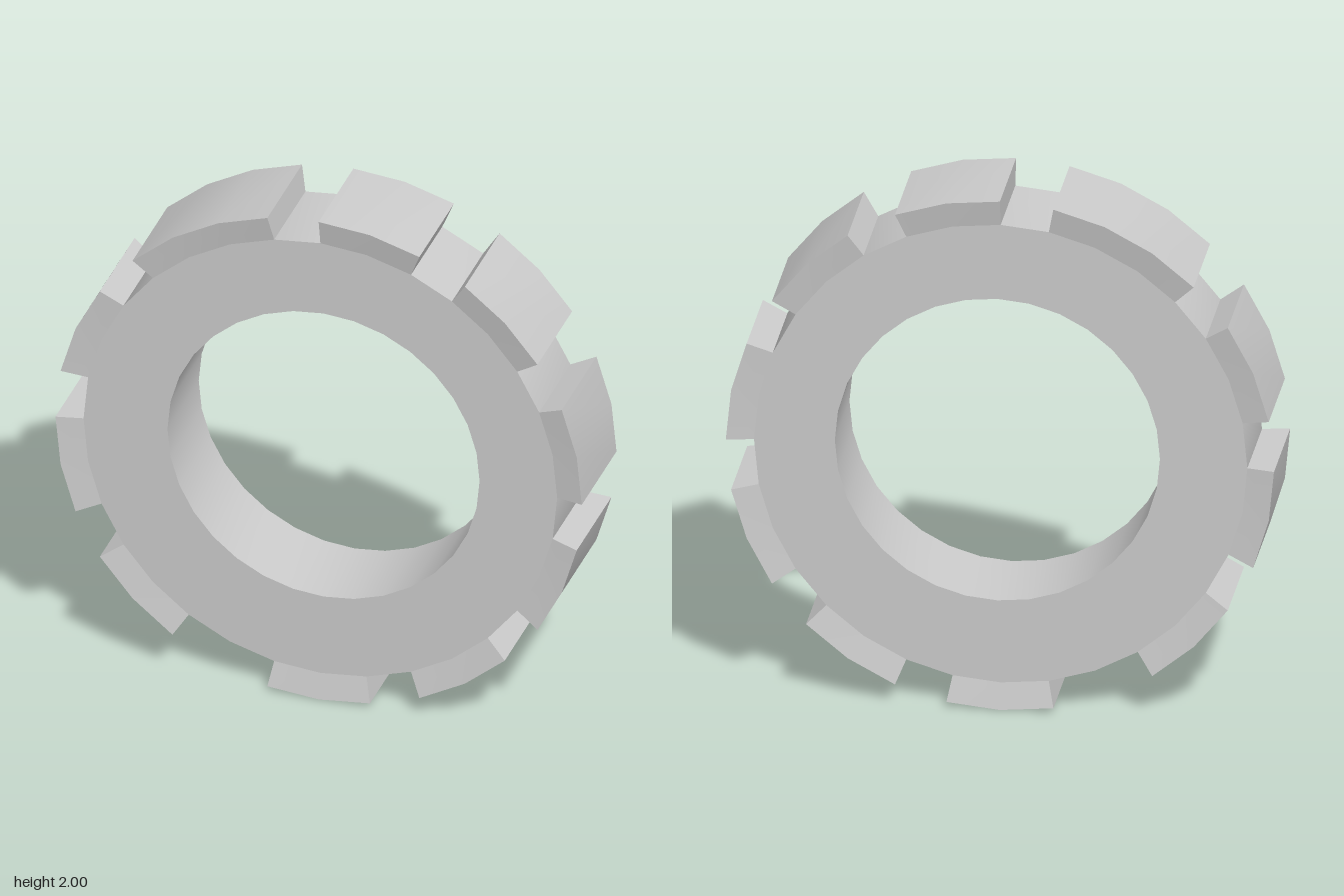
import * as THREE from 'three';
import { toCreasedNormals } from 'three/addons/utils/BufferGeometryUtils.js';

const SIDES = 32;
const STEP = (Math.PI * 2) / SIDES;
const ROOT_R = 0.9, ROOT_Z = 0.18; // ring rim
const TIP_R = 1, TIP_Z = 0.2;      // flared tooth tips
const HOLE_R = 0.593;

// Regular polygon with a corner at angle 0
function polygon(r, cx = 0, cy = 0) {
  return Array.from({ length: SIDES }, (_, i) =>
    new THREE.Vector2(cx + r * Math.cos(i * STEP), cy + r * Math.sin(i * STEP)));
}

// Flat ring with a slightly off-centre bore
function ringGeometry() {
  const shape = new THREE.Shape(polygon(ROOT_R));
  shape.holes.push(new THREE.Path(polygon(HOLE_R, 0.012, 0.015).reverse()));
  const geo = new THREE.ExtrudeGeometry(shape, { depth: ROOT_Z * 2, bevelEnabled: false });
  geo.translate(0, 0, -ROOT_Z);
  return toCreasedNormals(geo, 0.4);
}

// Tooth: trapezoid section swept around the rim, widening outwards
function toothGeometry(first, count) {
  const section = [[ROOT_R, -ROOT_Z], [TIP_R, -TIP_Z], [TIP_R, TIP_Z], [ROOT_R, ROOT_Z]];
  const positions = [];
  const point = (i, k) => {
    const [r, z] = section[i];
    const a = (first + k) * STEP;
    return [r * Math.cos(a), r * Math.sin(a), z];
  };
  const quad = (a, b, c, d) => positions.push(...a, ...b, ...c, ...a, ...c, ...d);
  for (let k = 0; k < count; k++)
    for (let i = 0; i < 3; i++)
      quad(point(i, k), point(i, k + 1), point(i + 1, k + 1), point(i + 1, k));
  quad(point(0, 0), point(1, 0), point(2, 0), point(3, 0));
  quad(point(3, count), point(2, count), point(1, count), point(0, count));
  const geo = new THREE.BufferGeometry();
  geo.setAttribute('position', new THREE.Float32BufferAttribute(positions, 3));
  return toCreasedNormals(geo, 0.4);
}

export function createModel() {
  const model = new THREE.Group();
  model.name = 'notchedRing';
  const material = new THREE.MeshStandardMaterial({ color: 0xcccccc });
  const add = (name, geo) => {
    const mesh = new THREE.Mesh(geo, material);
    mesh.name = name;
    mesh.position.y = 1;
    model.add(mesh);
  };

  add('ring', ringGeometry());

  // First corner of each tooth; the one at 9 is a segment longer
  [0, 3, 6, 9, 13, 16, 19, 23, 26, 29].forEach((first, i) =>
    add(`tooth${i + 1}`, toothGeometry(first, first === 9 ? 3 : 2)));

  return model;
}
